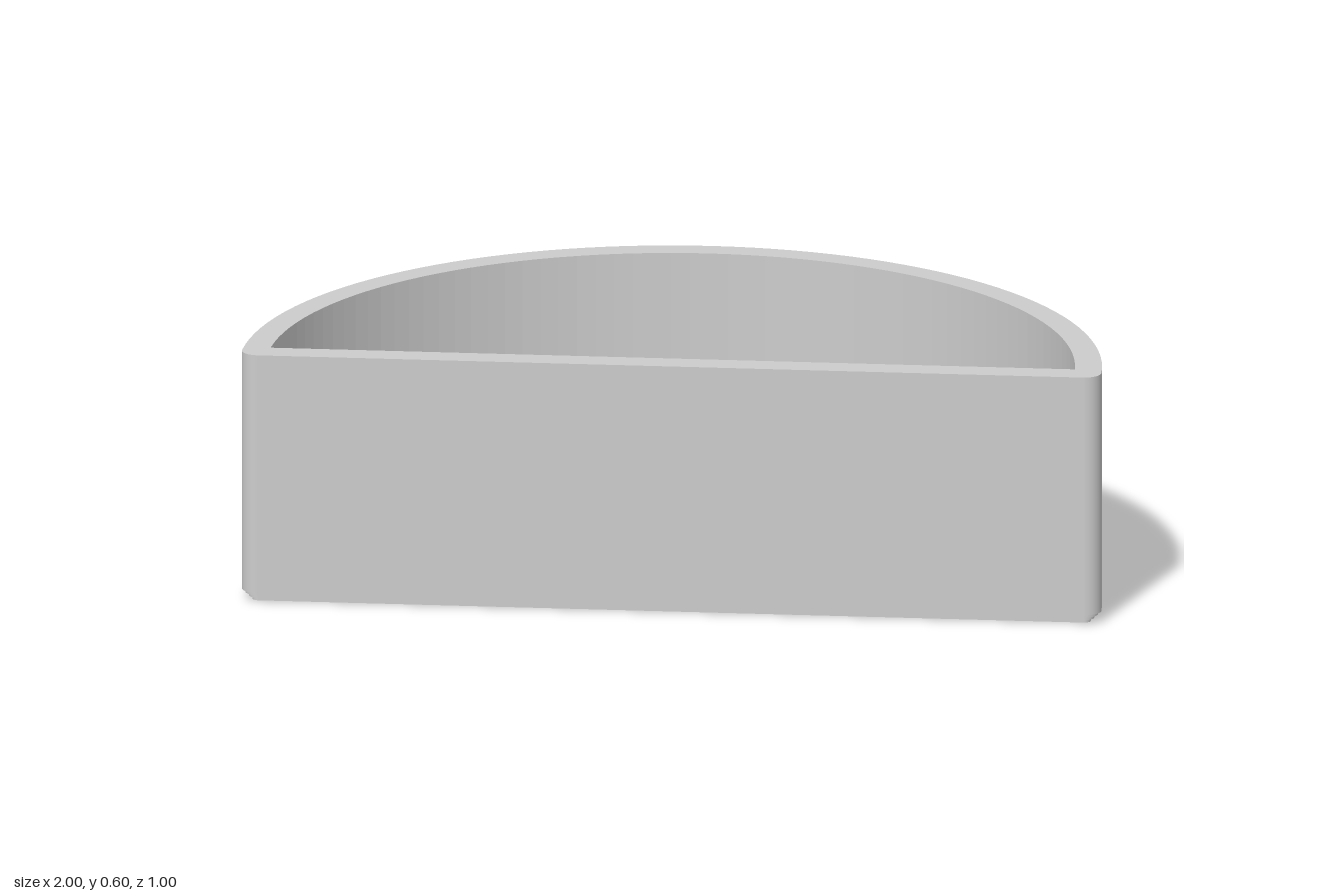
import * as THREE from 'three';

const STEP = 0.0083;          // height and inset of each foot step
const FLOOR = 0.095;          // top of the inside floor
const HEIGHT = 0.598;

// Half disc with rounded front corners, inset by d (shape y points to the back)
function halfDisc(d, r = 0.04 - d) {
  const R = 1 - d;
  const a = Math.asin((d + r) / R);
  const x = R * Math.cos(a);
  const s = new THREE.Shape();
  s.moveTo(-(x - r), d);
  s.lineTo(x - r, d);
  s.absarc(x - r, d + r, r, -Math.PI / 2, 0, false);
  s.absarc(0, 0, R, a, Math.PI - a, false);
  s.absarc(-(x - r), d + r, r, Math.PI, Math.PI * 1.5, false);
  return s;
}

// Sharp-cornered outline of the inside
function innerOutline(Type) {
  const R = 0.9375, d = 0.066, a = Math.asin(d / R);
  const s = new Type();
  s.moveTo(-R * Math.cos(a), d);
  s.lineTo(R * Math.cos(a), d);
  s.absarc(0, 0, R, a, Math.PI - a, false);
  return s;
}

// Seed recesses in the underside: x, distance from the front, direction
const seeds = [[0, 0.875, 90], [0.36, 0.785, 69], [0.61, 0.393, 52], [0.757, 0.145, 40]];

function seedHoles() {
  const holes = [];
  for (const [x, y, deg] of seeds) {
    for (const side of x === 0 ? [1] : [1, -1]) {
      const t = THREE.MathUtils.degToRad(side === 1 ? deg : 180 - deg);
      const p = new THREE.Path();
      p.absellipse(x * side, y, 0.06, 0.034, 0, Math.PI * 2, true, t);
      holes.push(p);
    }
  }
  return holes;
}

function crossPath(l, w) {
  const pts = [[w, l], [w, w], [l, w], [l, -w], [w, -w], [w, -l],
    [-w, -l], [-w, -w], [-l, -w], [-l, w], [-w, w], [-w, l]];
  return new THREE.Path(pts.map(([x, y]) => new THREE.Vector2(x, y)));
}

export function createModel() {
  const model = new THREE.Group();
  model.name = 'halfRoundBox';
  const grey = new THREE.MeshStandardMaterial({ color: 0xcccccc });
  grey.name = 'grey';

  const slab = (name, shape, y0, y1, z = 0.5) => {
    const g = new THREE.ExtrudeGeometry(shape, { depth: y1 - y0, bevelEnabled: false, curveSegments: 32 });
    g.rotateX(-Math.PI / 2);
    g.translate(0, y0, z);
    const m = new THREE.Mesh(g, grey);
    m.name = name;
    model.add(m);
  };

  // Stepped foot, pierced by the seed recesses
  for (let i = 0; i < 3; i++) {
    const s = halfDisc(STEP * (3 - i));
    s.holes.push(...seedHoles());
    slab('footStep' + (i + 1), s, STEP * i, STEP * (i + 1));
  }

  // Outer wall and floor
  const wall = halfDisc(0);
  wall.holes.push(innerOutline(THREE.Path));
  slab('wall', wall, STEP * 3, HEIGHT);
  slab('floor', innerOutline(THREE.Shape), STEP * 3, FLOOR);

  // Round boss with a cross-shaped slot
  const boss = new THREE.Shape();
  boss.absarc(0, 0, 0.11, 0, Math.PI * 2, false);
  boss.holes.push(crossPath(0.083, 0.029));
  slab('crossBoss', boss, FLOOR, FLOOR + 0.02, 0.031);

  return model;
}
